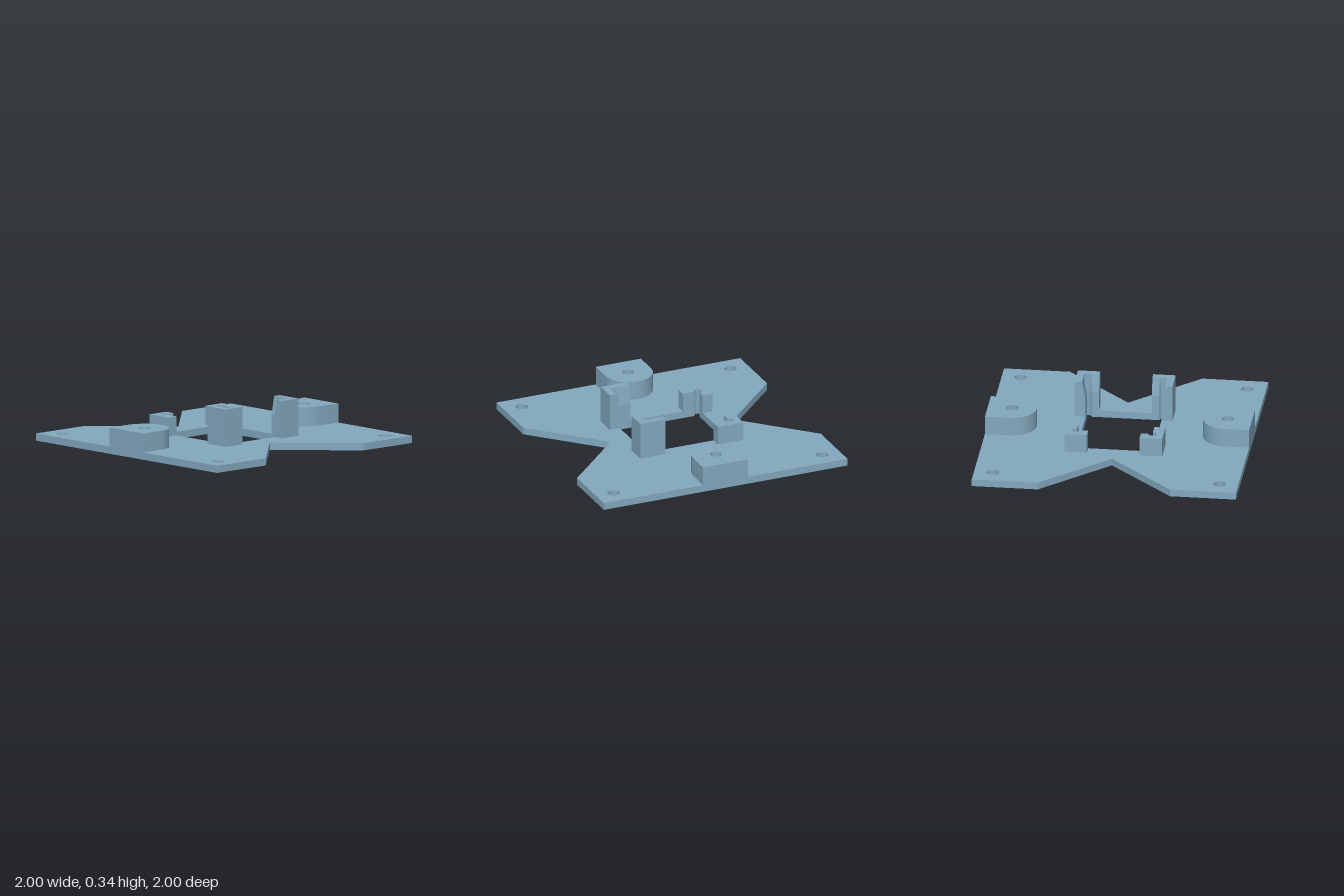
import * as THREE from 'three';
import { toCreasedNormals } from 'three/addons/utils/BufferGeometryUtils.js';

const PLATE_TOP = 0.055, LOW = 0.2, HIGH = 0.34;
const IX = 0.287, IZ = 0.34, RELIEF = 0.03; // opening half sizes, corner relief radius

// Extrude an outline drawn in (x, z) between two heights
function slab(shape, y0, y1) {
  const geo = new THREE.ExtrudeGeometry(shape, { depth: y1 - y0, bevelEnabled: false, curveSegments: 32 });
  return geo.rotateX(Math.PI / 2).translate(0, y1, 0);
}

function circle(x, z, r) {
  return new THREE.Path().absarc(x, z, r, 0, Math.PI * 2);
}

// Three-quarter relief arc at an opening corner, from its x side to its z side
function reliefArc(sx, sz) {
  const pts = [];
  for (let i = 0; i <= 24; i++) {
    const a = -Math.PI / 2 + (i / 24) * Math.PI * 1.5;
    pts.push(new THREE.Vector2(sx * (IX + RELIEF * Math.cos(a)), sz * (IZ + RELIEF * Math.sin(a))));
  }
  return pts;
}

// L-shaped corner post outline wrapping the relief arc
function postShape(sx, sz) {
  const p = (x, z) => new THREE.Vector2(sx * x, sz * z);
  return new THREE.Shape([
    p(IX, 0.215), ...reliefArc(sx, sz), p(0.2, IZ), p(0.2, 0.422), p(0.37, 0.422), p(0.37, 0.215),
  ]);
}

// Widen the inner faces at the top of a tall post into a lead-in
function flareTop(geo) {
  const pos = geo.attributes.position;
  for (let i = 0; i < pos.count; i++) {
    const x = pos.getX(i), z = pos.getZ(i);
    const ax = Math.abs(x), az = Math.abs(z);
    if (pos.getY(i) < HIGH - 0.001 || ax > 0.36 || az > 0.41) continue;
    const d = (ax - IX) - (az - IZ);
    if (d > -1e-4) pos.setX(i, Math.sign(x) * 0.315);
    if (d < 1e-4) pos.setZ(i, Math.sign(z) * 0.37);
  }
  geo.computeVertexNormals();
  return geo;
}

export function createModel() {
  const model = new THREE.Group();
  model.name = 'mountingPlate';
  const blue = new THREE.MeshStandardMaterial({ color: 0x82a8be });
  blue.name = 'steel blue';

  const add = (name, geo, parent = model) => {
    const mesh = new THREE.Mesh(toCreasedNormals(geo, 0.5), blue);
    mesh.name = name;
    parent.add(mesh);
  };

  // Base plate with V notches at front and back
  const plate = new THREE.Shape([
    [-1, -1], [-0.5, -1], [0, -0.505], [0.5, -1], [1, -1],
    [1, 1], [0.5, 1], [0, 0.505], [-0.5, 1], [-1, 1],
  ].map(([x, z]) => new THREE.Vector2(x, z)));
  // Central opening with relieved corners
  plate.holes.push(new THREE.Path([
    ...reliefArc(1, 1), ...reliefArc(-1, 1).reverse(),
    ...reliefArc(-1, -1), ...reliefArc(1, -1).reverse(),
  ]));
  // Screw holes
  for (const sx of [-1, 1]) for (const sz of [-1, 1]) plate.holes.push(circle(sx * 0.857, sz * 0.857, 0.047));
  add('basePlate', slab(plate, 0, PLATE_TOP));

  for (const sx of [-1, 1]) {
    const side = sx > 0 ? 'left' : 'right';

    // Rounded side boss with a blind hole
    const outline = [new THREE.Vector2(sx, -0.185)];
    for (let i = 0; i <= 32; i++) {
      const a = -Math.PI / 2 + (i / 32) * Math.PI;
      outline.push(new THREE.Vector2(sx * (0.815 - 0.185 * Math.cos(a)), 0.185 * Math.sin(a)));
    }
    outline.push(new THREE.Vector2(sx, 0.185));
    const boss = new THREE.Shape(outline);
    boss.holes.push(circle(sx * 0.815, 0, 0.045));
    add(side + 'Boss', slab(boss, PLATE_TOP, LOW));

    // Short back post
    add(side + 'BackPost', slab(postShape(sx, -1), PLATE_TOP, LOW));

    // Tall front post: straight lower part, flared upper part
    const post = new THREE.Group();
    post.name = side + 'FrontPost';
    add('postLower', slab(postShape(sx, 1), PLATE_TOP, LOW), post);
    add('postUpper', flareTop(slab(postShape(sx, 1), LOW, HIGH)), post);
    model.add(post);
  }
  return model;
}
